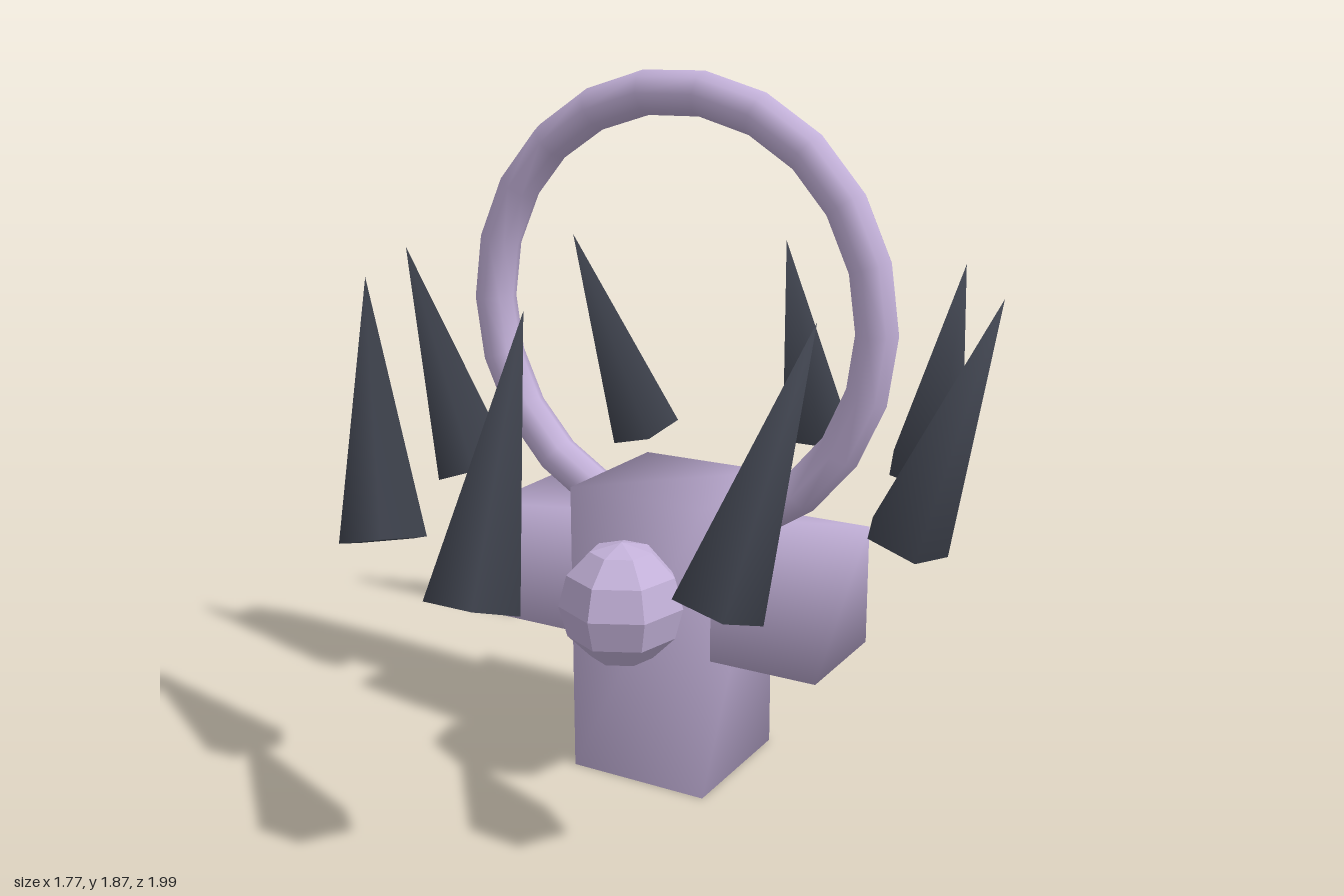
import * as THREE from 'three';
import { mergeVertices } from 'three/addons/utils/BufferGeometryUtils.js';

const lavender = new THREE.MeshStandardMaterial({ color: 0xc3b1d9 });
lavender.name = 'lavender';
const charcoal = new THREE.MeshStandardMaterial({ color: 0x3f434e });
charcoal.name = 'charcoal';
const lavenderFaceted = lavender.clone();
lavenderFaceted.flatShading = true;

// Share corners so that shading flows softly over the edges
function soften(geometry) {
  geometry.deleteAttribute('normal');
  geometry.deleteAttribute('uv');
  const merged = mergeVertices(geometry, 1e-4);
  merged.computeVertexNormals();
  return merged;
}

function part(name, geometry, material, x, y, z) {
  const mesh = new THREE.Mesh(geometry, material);
  mesh.name = name;
  mesh.position.set(x, y, z);
  return mesh;
}

export function createModel() {
  const model = new THREE.Group();
  model.name = 'spikedRingCharm';

  // Upright block and cross bar
  model.add(part('body', soften(new THREE.BoxGeometry(0.4, 0.8, 0.4)), lavender, 0, 0.4, 0.01));
  model.add(part('crossBar', soften(new THREE.BoxGeometry(1, 0.325, 0.325)), lavender, 0, 0.538, 0.008));

  // Low-poly knob on the front, one vertex column facing +z
  const knob = new THREE.SphereGeometry(0.165, 7, 6);
  knob.rotateY(-Math.PI / 2);
  knob.rotateY(Math.PI);
  model.add(part('knob', knob, lavenderFaceted, 0, 0.537, 0.28));

  // Ring standing behind the knob
  model.add(part('ring', new THREE.TorusGeometry(0.57, 0.057, 8, 22), lavender, 0, 1.25, 0.01));

  // Eight five-sided spikes around the body, leaning out in x and in along z
  const height = 0.666;
  const spikeGeometry = new THREE.ConeGeometry(0.113, height, 5);
  spikeGeometry.rotateY(Math.PI);
  spikeGeometry.translate(0, height / 2, 0);
  const spike = soften(spikeGeometry);
  const up = new THREE.Vector3(0, 1, 0);
  const spikes = new THREE.Group();
  spikes.name = 'spikes';
  for (let i = 0; i < 8; i++) {
    const a = (i * Math.PI) / 4;
    const s = Math.sin(a), c = Math.cos(a);
    const mesh = part('spike', spike, charcoal, 0.662 * s, 0.737, 0.9 * c + 0.01);
    const lean = new THREE.Vector3(0.222 * s, 0.628, -0.225 * c).normalize();
    mesh.quaternion.setFromUnitVectors(up, lean);
    spikes.add(mesh);
  }
  model.add(spikes);
  return model;
}
